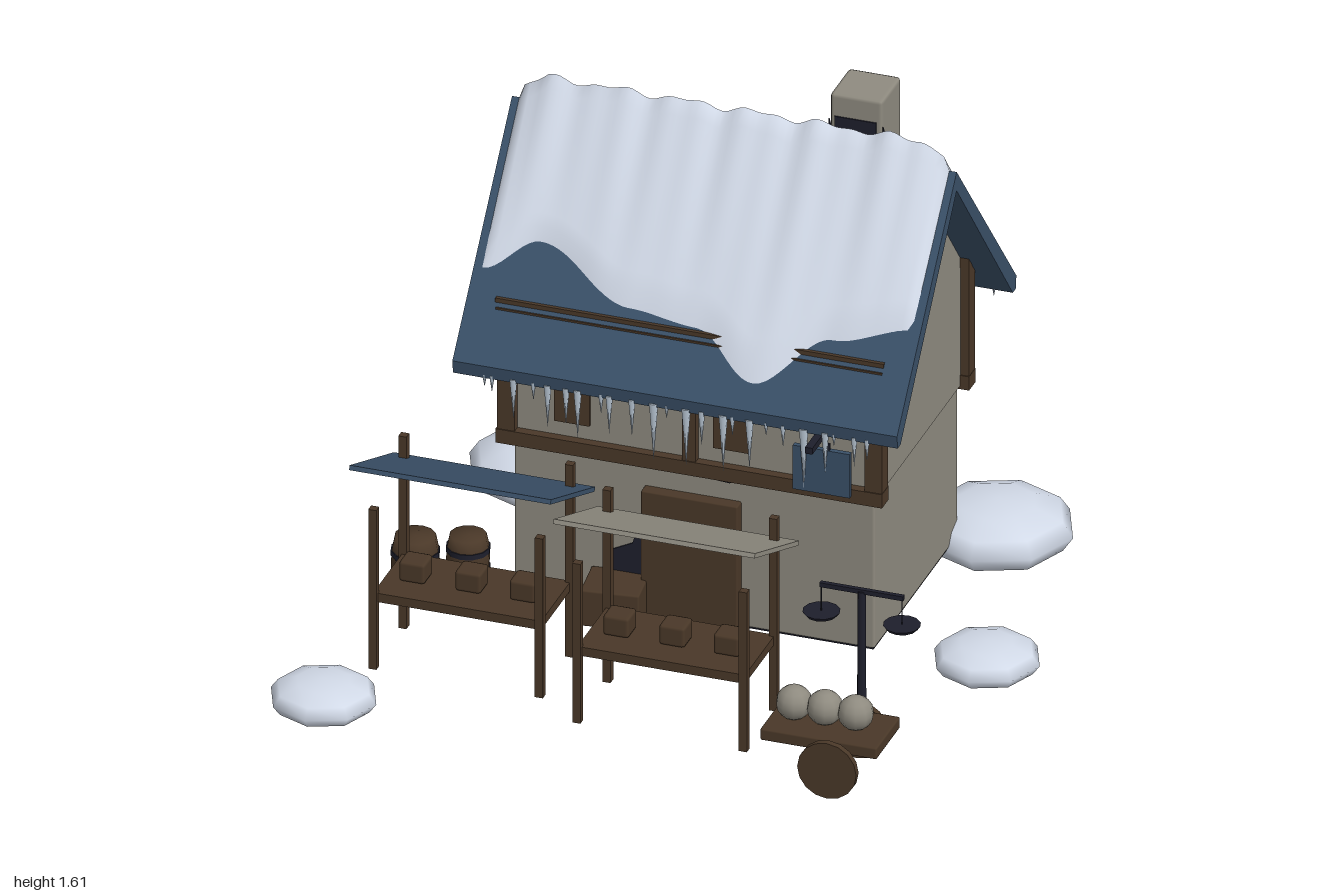
import * as THREE from 'three';
import { RoundedBoxGeometry } from 'three/addons/geometries/RoundedBoxGeometry.js';

const mat = (name, color, double) => {
  const m = new THREE.MeshStandardMaterial({ color, side: double ? THREE.DoubleSide : THREE.FrontSide });
  m.name = name;
  return m;
};

export function createModel() {
  const model = new THREE.Group();
  model.name = 'winterMarketHouse';
  const stone = mat('stone', 0x8f8b80), wood = mat('darkWood', 0x4a3828), blue = mat('blueSlate', 0x3a5068);
  const snow = mat('snow', 0xd2dae8, true), ice = mat('ice', 0xbccad8), dark = mat('darkIron', 0x1e1f2c, true);

  const add = (name, geo, m, x = 0, y = 0, z = 0, parent = model) => {
    const mesh = new THREE.Mesh(geo, m);
    mesh.name = name;
    mesh.position.set(x, y, z);
    parent.add(mesh);
    return mesh;
  };
  const group = (name) => {
    const g = new THREE.Group();
    g.name = name;
    model.add(g);
    return g;
  };
  // box given by its limits on each axis
  const span = (name, m, x0, x1, y0, y1, z0, z1, parent = model, r = 0) => {
    const s = [x1 - x0, y1 - y0, z1 - z0];
    const geo = r ? new RoundedBoxGeometry(...s, 1, r) : new THREE.BoxGeometry(...s);
    return add(name, geo, m, (x0 + x1) / 2, (y0 + y1) / 2, (z0 + z1) / 2, parent);
  };
  // flat outline drawn in (x, y), extruded along z
  const plate = (pts, depth) => new THREE.ExtrudeGeometry(
    new THREE.Shape(pts.map(p => new THREE.Vector2(...p))), { depth, bevelEnabled: false });
  // outline drawn in (z, y), extruded along x
  const sidePlate = (pts, depth) => plate(pts.map(([z, y]) => [-z, y]), depth).rotateY(Math.PI / 2);
  let seed = 7;
  const rand = () => (seed = (seed * 16807) % 2147483647) / 2147483647;

  // House walls, with a projecting upper floor
  const CX = -0.01, CZ = -0.3;
  span('lowerWalls', stone, -0.545, 0.53, 0.1, 0.6, -0.65, 0.05, model, 0.008);
  span('floorUnderside', dark, -0.54, 0.525, 0.096, 0.1, -0.645, 0.045);
  span('upperWalls', stone, -0.56, 0.54, 0.59, 1.02, -0.665, 0.065);
  add('gable', sidePlate([[0.065, 1.02], [CZ, 1.425], [-0.665, 1.02]], 1.1), stone, -0.56);

  // Timber frame on front and back
  const frame = group('timberFrame');
  for (const z of [0.065, -0.665]) {
    for (const x of [-0.555, CX, 0.54]) {
      const w = x === CX ? 0.02 : 0.026;
      span('post', wood, x - w, x + w, 0.59, 1.01, z - 0.025, z + 0.025, frame);
    }
    for (const y of [0.602, 0.99]) span('rail', wood, -0.585, 0.567, y - 0.022, y + 0.022, z - 0.028, z + 0.028, frame);
  }
  for (const x of [-0.365, 0.11]) span('shutter', wood, x - 0.053, x + 0.053, 0.67, 0.88, 0.064, 0.073, frame);

  // Door, step crate and dark wall patches
  span('door', wood, -0.155, 0.133, 0.1, 0.5, 0.045, 0.085, model, 0.005);
  span('doorCrate', wood, -0.305, -0.135, 0.1, 0.215, 0.04, 0.19, model, 0.006).rotation.y = 0.12;
  add('wallPatch', plate([[-0.26, 0.2], [-0.25, 0.28], [-0.19, 0.31], [-0.165, 0.4], [-0.14, 0.41], [-0.14, 0.2]], 0.005), dark, 0, 0, 0.05);
  add('lintelPatch', plate([[0.0, 0.59], [0.03, 0.56], [0.1, 0.555], [0.14, 0.59]], 0.005), dark, 0, 0, 0.05);

  // Pitched roof and snow guards
  const ridge = 1.47, slope = 1.18;
  add('roof', sidePlate([[0.2, 0.88], [CZ, ridge], [-0.8, 0.88], [-0.795, 0.84], [-0.77, 0.84],
    [CZ, 1.41], [0.17, 0.84], [0.195, 0.84]], 1.325), blue, -0.675);
  for (const z of [0.07, -0.69]) span('snowGuard', wood, -0.59, 0.567, 1.005, 1.035, z - 0.01, z + 0.01);

  // Roof snow: cross-sections along the ridge, with a wavy lower edge on either side
  const wave = (pts, x) => {
    let i = 0;
    while (i < pts.length - 2 && x > pts[i + 1][0]) i++;
    const [a, b] = [pts[i], pts[i + 1]];
    const t = THREE.MathUtils.clamp((x - a[0]) / (b[0] - a[0]), 0, 1);
    return a[1] + (b[1] - a[1]) * (1 - Math.cos(t * Math.PI)) / 2;
  };
  const frontEdge = [[-0.655, 0.33], [-0.5, 0.26], [-0.2, 0.355], [0, 0.37], [0.2, 0.455], [0.4, 0.35], [0.63, 0.31]];
  const backEdge = [[-0.655, 0.385], [-0.33, 0.44], [0, 0.27], [0.27, 0.38], [0.63, 0.44]];
  const NX = 72, NU = 24, verts = [], faces = [];
  for (let i = 0; i <= NX; i++) {
    const x = -0.655 + 1.285 * i / NX;
    const end = Math.min(1, Math.min(i, NX - i) / 5);
    const bump = 0.008 * Math.sin(x * 31) + 0.006 * Math.sin(x * 57 + 1);
    for (let j = 0; j <= NU; j++) {
      const u = j / NU * 2 - 1, a = Math.abs(u);
      const d = a * wave(u > 0 ? frontEdge : backEdge, x);
      const thick = (0.016 + (0.065 + bump) * (1 - a)) * (0.2 + 0.8 * Math.sqrt(end));
      verts.push(x, ridge - slope * d + (a === 1 || end === 0 ? -0.005 : thick), CZ + Math.sign(u) * d);
      if (i < NX && j < NU) {
        const p = i * (NU + 1) + j, q = p + NU + 1;
        faces.push(p, p + 1, q, q, p + 1, q + 1);
      }
    }
  }
  const snowGeo = new THREE.BufferGeometry();
  snowGeo.setAttribute('position', new THREE.Float32BufferAttribute(verts, 3));
  snowGeo.setIndex(faces);
  snowGeo.computeVertexNormals();
  add('roofSnow', snowGeo, snow);

  // Icicles under both eaves
  const icicles = group('icicles');
  for (const z of [0.19, -0.79]) {
    for (let i = 0; i < 24; i++) {
      const len = 0.04 + 0.17 * rand() ** 2;
      const cone = new THREE.ConeGeometry(0.006 + len * 0.04, len, 6).rotateX(Math.PI);
      add('icicle', cone, ice, -0.62 + 1.22 * (i + rand() * 0.8) / 24, 0.85 - len / 2, z, icicles);
    }
  }

  // Chimney with sooty base
  span('chimney', stone, 0.245, 0.402, 1.0, 1.61, -0.535, -0.375, model, 0.012);
  const soot = [[-0.374, 1.35], [-0.374, 1.53], [-0.41, 1.46], [-0.44, 1.44], [-0.48, 1.36], [-0.525, 1.3], [-0.525, 1.2]];
  for (const x of [0.241, 0.402]) add('chimneySoot', sidePlate(soot, 0.004), dark, x);
  span('chimneySootFront', dark, 0.26, 0.385, 1.38, 1.54, -0.376, -0.371);

  // Hanging sign on its bracket
  const sign = group('hangingSign');
  span('bracket', dark, 0.39, 0.412, 0.8, 0.82, 0.06, 0.24, sign);
  span('signBoard', blue, 0.335, 0.505, 0.65, 0.79, 0.172, 0.188, sign);
  for (const x of [0.37, 0.44]) span('signHanger', dark, x - 0.004, x + 0.004, 0.78, 0.81, 0.176, 0.184, sign);

  // Barrels with dark hoops
  const barrel = (x, z, r, h) => {
    const g = group('barrel');
    const prof = [[0, 0], [0.84, 0], [0.96, 0.25], [1, 0.5], [0.96, 0.75], [0.84, 1], [0, 1]];
    add('staves', new THREE.LatheGeometry(prof.map(([a, b]) => new THREE.Vector2(a * r, b * h)), 12), wood, x, 0.1, z, g);
    for (const t of [0.25, 0.7]) add('hoop', new THREE.CylinderGeometry(r * 1.01, r * 1.01, 0.016, 12), dark, x, 0.1 + t * h, z, g);
  };
  barrel(-0.805, 0.145, 0.07, 0.17);
  barrel(-0.685, 0.04, 0.063, 0.14);

  // Market stalls: tilted canopy, four posts, shelf and crates
  const stall = (name, x, z, canopyMat) => {
    const g = group(name);
    const len = Math.hypot(0.37, 0.15);
    add('canopy', new THREE.BoxGeometry(0.6, 0.014, len), canopyMat, x, 0.685, z, g).rotation.x = -Math.atan2(0.15, 0.37);
    for (const sx of [-0.248, 0.248]) {
      for (const [dz, top] of [[-0.125, 0.715], [0.127, 0.61]]) {
        span('post', wood, x + sx - 0.012, x + sx + 0.012, 0.1, top, z + dz - 0.012, z + dz + 0.012, g);
      }
    }
    span('shelf', wood, x - 0.25, x + 0.25, 0.31, 0.338, z - 0.125, z + 0.125, g);
    for (const dx of [-0.167, 0, 0.162]) {
      span('crate', wood, x + dx - 0.039, x + dx + 0.039, 0.338, 0.402, z - 0.035, z + 0.04, g, 0.01);
    }
  };
  stall('blueStall', -0.512, 0.493, blue);
  stall('greyStall', 0.133, 0.597, stone);

  // Hand cart with wheels and a load of boulders
  const cart = group('cart');
  span('bed', wood, 0.48, 0.828, 0.225, 0.262, 0.672, 0.872, cart, 0.006);
  for (const z of [0.65, 0.9]) add('wheel', new THREE.CylinderGeometry(0.088, 0.088, 0.02, 16).rotateX(Math.PI / 2), wood, 0.693, 0.185, z, cart);
  for (const x of [0.546, 0.638, 0.73]) add('boulder', new THREE.SphereGeometry(0.052, 10, 8), stone, x, 0.307, 0.77, cart);

  // Weighing scale
  const scale = group('weighingScale');
  add('column', new THREE.CylinderGeometry(0.012, 0.014, 0.41, 8), dark, 0.632, 0.305, 0.445, scale);
  span('beam', dark, 0.508, 0.757, 0.503, 0.517, 0.437, 0.451, scale);
  for (const x of [0.512, 0.752]) {
    add('pan', new THREE.CylinderGeometry(0.054, 0.045, 0.012, 12), dark, x, 0.42, 0.445, scale);
    add('panRod', new THREE.CylinderGeometry(0.002, 0.002, 0.09, 5), dark, x, 0.465, 0.445, scale);
  }

  // Snow mounds
  for (const [x, z, r, h] of [[-0.715, -0.66, 0.215, 0.085], [0.61, -0.755, 0.225, 0.09], [0.84, -0.02, 0.157, 0.058], [-0.84, 0.815, 0.157, 0.058]]) {
    add('snowMound', new THREE.SphereGeometry(1, 8, 6).scale(r, h, r), snow, x, 0.095, z);
  }
  return model;
}
